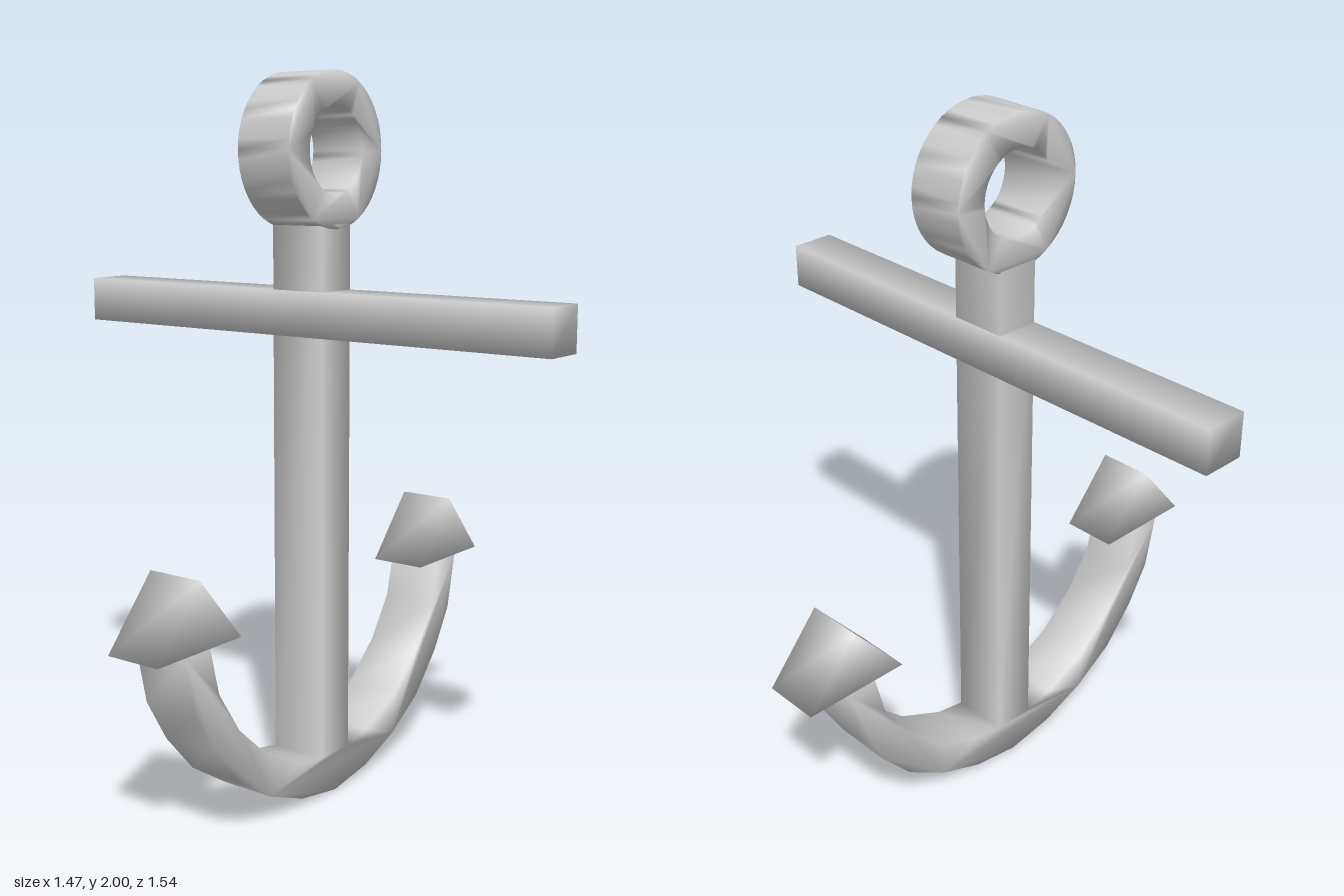
import * as THREE from 'three';
import { mergeVertices } from 'three/addons/utils/BufferGeometryUtils.js';

const DEPTH = 0.166;  // thickness of the flat-cut parts
const AXIS = -0.012;  // x of the shank's centre line

export function createModel() {
  const model = new THREE.Group();
  const material = new THREE.MeshStandardMaterial({ color: 0xcccccc });

  // Weld corners so normals blend softly across the edges
  function addPart(name, geometry, x = 0, y = 0) {
    geometry.deleteAttribute('normal');
    geometry.deleteAttribute('uv');
    const welded = mergeVertices(geometry);
    welded.computeVertexNormals();
    const mesh = new THREE.Mesh(welded, material);
    mesh.name = name;
    mesh.position.set(x, y, 0);
    model.add(mesh);
  }

  function slab(shape, curveSegments = 12) {
    return new THREE.ExtrudeGeometry(shape, { depth: DEPTH, bevelEnabled: false, curveSegments })
      .translate(0, 0, -DEPTH / 2);
  }

  const polygon = (points) => new THREE.Shape(points.map(([x, y]) => new THREE.Vector2(x, y)));

  // Shank and curved arms: right half of the outline, mirrored to the left
  const half = [
    [0.15, 0.025], [0.29, 0.08], [0.42, 0.165], [0.52, 0.28], [0.59, 0.4], [0.625, 0.56],
    [0.53, 0.56], [0.498, 0.43], [0.42, 0.31], [0.3, 0.2], [0.155, 0.132], [0.0625, 0.115],
    [0.0625, 1.6],
  ];
  const mirrored = half.map(([x, y]) => [-x, y]).reverse();
  addPart('shankAndArms', slab(polygon([[0, 0], ...half, ...mirrored])), AXIS);

  // Arrow-shaped flukes on the arm tips
  for (const [name, x] of [['leftFluke', 0.578], ['rightFluke', -0.578]]) {
    addPart(name, slab(polygon([[-0.158, 0], [0.158, 0], [0, 0.185]])), x, 0.56);
  }

  // Ring at the top
  const ring = new THREE.Shape().absarc(0, 0, 0.207, 0, Math.PI * 2);
  ring.holes.push(new THREE.Path().absarc(0, 0, 0.117, 0, Math.PI * 2, true));
  addPart('ring', slab(ring, 24), AXIS, 1.793);

  // Stock crossing the shank from front to back
  addPart('stock', new THREE.BoxGeometry(0.126, 0.124, 1.54), AXIS, 1.36);

  return model;
}
